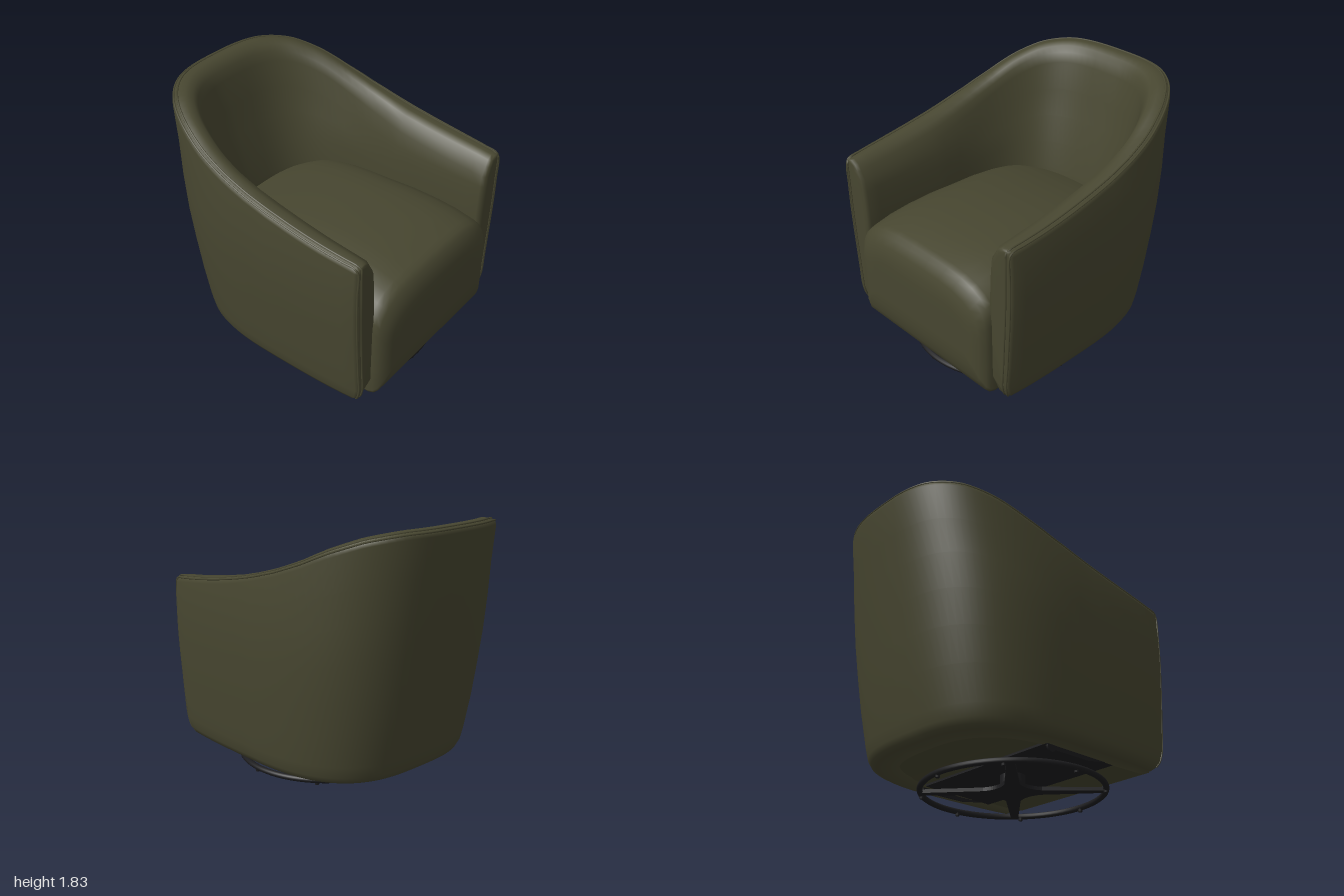
import * as THREE from 'three';

const olive = new THREE.MeshStandardMaterial({ color: 0x474630 });
olive.name = 'olive upholstery';
const black = new THREE.MeshStandardMaterial({ color: 0x1c1c1e });
black.name = 'black metal';

// Piecewise-linear lookup in a short table of [key, value] pairs
function lookup(table, k) {
  if (k <= table[0][0]) return table[0][1];
  for (let i = 1; i < table.length; i++) {
    const [k0, v0] = table[i - 1], [k1, v1] = table[i];
    if (k <= k1) return v0 + (v1 - v0) * (k - k0) / (k1 - k0);
  }
  return table[table.length - 1][1];
}
const lerp = THREE.MathUtils.lerp;

function addMesh(parent, name, geometry, material, x = 0, y = 0, z = 0) {
  const mesh = new THREE.Mesh(geometry, material);
  mesh.name = name;
  mesh.position.set(x, y, z);
  parent.add(mesh);
  return mesh;
}

// Skin closed rings of equal length, capping both ends with strips
function loft(rings) {
  const n = rings[0].length, last = (rings.length - 1) * n, index = [];
  for (let r = 0; r < rings.length - 1; r++) {
    for (let i = 0; i < n; i++) {
      const a = r * n + i, b = r * n + (i + 1) % n, c = a + n, d = b + n;
      index.push(a, c, b, b, c, d);
    }
  }
  for (let i = 0; i < n / 2 - 1; i++) {
    const a = i, b = i + 1, c = n - 1 - i, d = n - 2 - i;
    index.push(a, b, c, b, d, c);
    index.push(last + a, last + c, last + b, last + b, last + c, last + d);
  }
  const geometry = new THREE.BufferGeometry().setFromPoints(rings.flat());
  geometry.setIndex(index);
  geometry.computeVertexNormals();
  return geometry;
}

// Shell: half width and back position against height, rim height against depth
const OUT_W = [[.14, .73], [.16, .765], [.2, .787], [.28, .8], [.4, .813], [.8, .842], [1.05, .853], [1.3, .842], [1.5, .822], [1.8, .815]];
const OUT_B = [[.14, -.69], [.16, -.72], [.2, -.74], [.4, -.79], [.8, -.855], [1.2, -.915], [1.6, -.97], [1.82, -1]];
const IN_W = [[.14, .625], [.9, .612], [1.05, .617], [1.2, .63], [1.35, .67], [1.5, .69], [1.8, .71]];
const IN_B = [[.14, -.55], [.7, -.57], [.87, -.6], [1.04, -.635], [1.2, -.675], [1.4, -.73], [1.6, -.78], [1.8, -.82]];
const RIM = [[-1, 1.828], [-.95, 1.824], [-.9, 1.812], [-.8, 1.785], [-.6, 1.705], [-.4, 1.615], [-.2, 1.545], [0, 1.49], [.2, 1.447], [.4, 1.41], [.6, 1.38], [.85, 1.35], [.91, 1.34]];
const Z0 = .2;
const frontZ = y => .91 - .06 * Math.max(0, (.28 - y) / .14) ** 2;

// Plan position: sx is the share of half width, s runs from 1 (front) to -1 (back)
function planPoint(sx, s, y, inner) {
  const ahead = Math.max(s, 0), back = lookup(inner ? IN_B : OUT_B, y);
  const w = inner ? lookup(IN_W, y) * lerp(.95, 1, ahead) : lookup(OUT_W, y) * (1 - .03 * ahead ** 3);
  const z = s >= 0 ? lerp(Z0, frontZ(y) - .03, s) : Z0 + s * (Z0 - back);
  return new THREE.Vector3(w * sx, y, z);
}

// Cross-section of the shell: up the outside, over the padded rim, down the inside
function shellSection(sx, s) {
  const top = lookup(RIM, s >= 0 ? lerp(Z0, .88, s) : Z0 + s * 1.2);
  const outer = y => planPoint(sx, s, y, false), inner = y => planPoint(sx, s, y, true);
  const rim = (t, drop) => {
    const p = outer(top - .03).lerp(inner(top - .03), t);
    p.y = top - drop;
    return p;
  };
  const ring = [.14, .16, .2, .28].map(outer);
  for (let k = 1; k <= 6; k++) ring.push(outer(lerp(.28, top - .045, k / 6)));
  ring.push(rim(.06, .016), rim(.2, .004));
  ring.push(rim(.5, 0), rim(.78, .022), rim(.93, .065), inner(top - .13));
  for (let k = 1; k <= 4; k++) ring.push(inner(lerp(top - .13, .9, k / 4)));
  ring.push(...[.8, .6, .3, .14].map(inner));
  return ring;
}

// Rounded front edge of an arm
function armEnd(ring, forward, narrow, shorten) {
  return ring.map((p, i) => {
    const q = ring[ring.length - 1 - i];
    return new THREE.Vector3(lerp(p.x, (p.x + q.x) / 2, narrow), lerp(p.y, .75, shorten), p.z + forward);
  });
}

function buildShell(group) {
  const columns = [];
  for (let k = 0; k < 8; k++) columns.push(shellSection(1, 1 - k / 8));
  for (let k = 0; k <= 48; k++) {
    const a = Math.PI * k / 48, c = Math.cos(a), e = 2 / 2.9;
    columns.push(shellSection(Math.sign(c) * Math.abs(c) ** e, -(Math.abs(Math.sin(a)) ** e)));
  }
  for (let k = 1; k <= 8; k++) columns.push(shellSection(-1, k / 8));
  const ends = ring => [armEnd(ring, .03, .5, .02), armEnd(ring, .022, .18, .008)];
  const [firstTip, firstEdge] = ends(columns[0]);
  const [lastTip, lastEdge] = ends(columns[columns.length - 1]);
  addMesh(group, 'wrapAroundShell', loft([firstTip, firstEdge, ...columns, lastEdge, lastTip]), olive);

  // Twin welts along the rim and down both arm fronts
  const welt = (first, last, level) => {
    const path = [...first.slice(1, level), ...columns.map(c => c[level]), ...last.slice(1, level).reverse()];
    const curve = new THREE.CatmullRomCurve3(path);
    addMesh(group, 'weltPiping', new THREE.TubeGeometry(curve, 320, .007, 6), olive);
  };
  welt(firstTip, lastTip, 11);
  welt(firstEdge, lastEdge, 10);
}

// Seat: sections from front to back as [z, half width, top, bottom], domed and falling to the rear
function buildSeat(group) {
  const stations = [
    [1, .46, .76, .43], [.996, .54, .82, .36], [.98, .597, .89, .27], [.95, .63, .945, .2], [.92, .642, .97, .17],
    [.88, .647, .985, .158], [.75, .645, 1.015, .155], [.6, .638, 1.035, .155], [.4, .632, 1.045, .155],
    [.2, .625, 1.04, .155], [0, .62, 1.02, .155], [-.2, .61, .985, .155], [-.4, .59, .935, .2], [-.55, .53, .88, .25],
    [-.66, .43, .835, .25]];
  // Crowned half profile: share of half width, drop below the crown
  const crown = [[1, .26], [.985, .19], [.95, .135], [.87, .085], [.75, .045], [.6, .018], [.4, .004], [.15, 0]];
  const rings = stations.map(([z, w, top, bottom]) => {
    const half = [[.97, bottom], [.995, bottom + .03]];
    // The crown flattens towards the rear
    const squash = Math.min(1, (top - bottom) / .6) * Math.min(1, Math.max(.35, .8 + z));
    for (const t of [.35, .7]) half.push([1, lerp(bottom + .03, top - .26 * squash, t)]);
    for (const [sx, drop] of crown) half.push([sx, top - drop * squash]);
    const left = half.map(([sx, y]) => new THREE.Vector3(sx * w, y, z));
    const right = half.map(([sx, y]) => new THREE.Vector3(-sx * w, y, z)).reverse();
    return [...left, ...right];
  });
  addMesh(group, 'seatCushion', loft(rings), olive);
}

// Recessed fabric panel under the seat
function buildUnderside(group) {
  const shape = new THREE.Shape();
  shape.moveTo(-.68, -.84);
  shape.lineTo(.68, -.84);
  shape.lineTo(.68, -.1);
  shape.bezierCurveTo(.66, .45, .4, .64, 0, .64);
  shape.bezierCurveTo(-.4, .64, -.66, .45, -.68, -.1);
  const geometry = new THREE.ExtrudeGeometry(shape, { depth: .02, bevelEnabled: false, curveSegments: 16 });
  geometry.rotateX(-Math.PI / 2);
  addMesh(group, 'undersidePanel', geometry, olive, 0, .165, 0);
}

function buildBase(group) {
  const base = new THREE.Group();
  base.name = 'swivelBase';
  base.position.z = .215;
  group.add(base);

  // Floor ring and feet
  const ring = new THREE.TorusGeometry(.635, .021, 10, 72).rotateX(Math.PI / 2);
  addMesh(base, 'floorRing', ring, black, 0, .033, 0);
  for (let k = 0; k < 8; k++) {
    const a = k * Math.PI / 4 + .07;
    addMesh(base, 'foot', new THREE.CylinderGeometry(.017, .015, .02, 10), black,
      .63 * Math.cos(a), .01, .63 * Math.sin(a));
  }

  // Four tapered spokes joined by curved webs
  const star = new THREE.Shape();
  for (let k = 0; k < 4; k++) {
    const a = Math.PI / 4 + k * Math.PI / 2, c = Math.cos(a), s = Math.sin(a);
    const at = (r, w) => [r * c - w * s, r * s + w * c];
    if (k === 0) star.moveTo(...at(.63, -.026));
    else star.lineTo(...at(.63, -.026));
    star.lineTo(...at(.63, .026));
    star.lineTo(...at(.2, .05));
    // The next spoke's near shoulder, a quarter turn on
    star.quadraticCurveTo(...at(.08, .08), ...at(.05, .2));
  }
  const spokes = new THREE.ExtrudeGeometry(star, { depth: .026, bevelEnabled: false }).rotateX(-Math.PI / 2);
  addMesh(base, 'spokes', spokes, black, 0, .02, 0);
  addMesh(base, 'swivelColumn', new THREE.CylinderGeometry(.088, .088, .11, 32), black, 0, .095, 0);

  // Mounting plate with a thin bracket and pivot on each side
  addMesh(group, 'mountingPlate', new THREE.BoxGeometry(1.23, .016, .63), black, 0, .148, .235);
  const side = new THREE.Shape([[-.55, .155], [-.3, .112], [.07, .109], [.08, .155]].map(p => new THREE.Vector2(...p)));
  for (const x of [-.615, .615]) {
    const bracket = new THREE.ExtrudeGeometry(side, { depth: .01, bevelEnabled: false });
    bracket.translate(0, 0, -.005).rotateY(Math.PI / 2);
    addMesh(group, 'sideBracket', bracket, black, x, 0, 0);
    const pivot = new THREE.CylinderGeometry(.036, .036, .014, 20).rotateZ(Math.PI / 2);
    addMesh(group, 'bracketPivot', pivot, black, x, .127, -.04);
  }
}

export function createModel() {
  const group = new THREE.Group();
  group.name = 'swivelTubChair';
  buildShell(group);
  buildSeat(group);
  buildUnderside(group);
  buildBase(group);
  return group;
}
